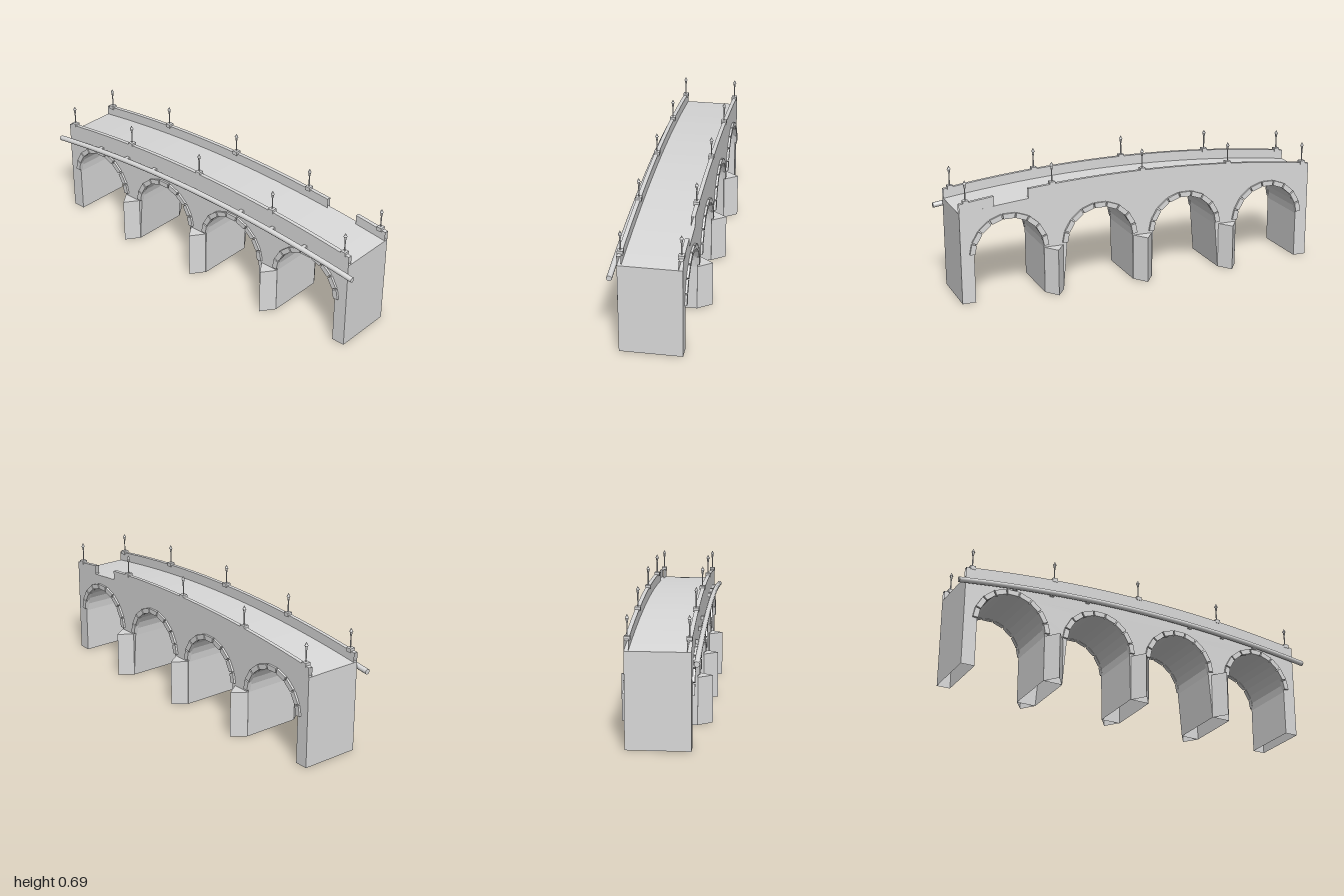
import * as THREE from 'three';

// Hollow, open-footed walls, so both sides of each face show
const stone = new THREE.MeshStandardMaterial({ color: 0xd9d9d9, side: THREE.DoubleSide });
stone.name = 'lightGreyStone';

const END = 0.955, WALL = 0.152, SPRING = 0.237, STEPS = 20;
const roadY = x => 0.525 - 0.065 * (x / END) ** 2;
const parapetY = x => 0.575 - 0.067 * (x / END) ** 2;
const pipeY = x => 0.487 - 0.07 * x * x;

// Arch centre, inner radius, and the x of its two feet on the ground
const half = [
  { c: -0.709, r: 0.178, a: -0.887, b: -0.53 },
  { c: -0.2335, r: 0.1765, a: -0.43, b: -0.052 },
];
const arches = [...half, ...half.map(h => ({ c: -h.c, r: h.r, a: -h.b, b: -h.a })).reverse()];

function add(parent, name, geo, x = 0, y = 0, z = 0) {
  const m = new THREE.Mesh(geo, stone);
  m.name = name;
  m.position.set(x, y, z);
  parent.add(m);
  return m;
}

// Shared x stations for the road and the parapets, clipped to x0..x1
function stations(x0, x1) {
  const inner = Array.from({ length: STEPS + 1 }, (_, i) => -END + 2 * END * i / STEPS)
    .filter(x => x > x0 + 1e-4 && x < x1 - 1e-4);
  return [x0, ...inner, x1];
}

function extrude(points, z0, z1) {
  const g = new THREE.ExtrudeGeometry(new THREE.Shape(points), { depth: z1 - z0, bevelEnabled: false });
  return g.translate(0, 0, z0);
}

// Leaves the feet open underneath
function openBottom(geo) {
  const p = geo.attributes.position, keep = [];
  for (let i = 0; i < p.count; i += 3) {
    if (Math.max(p.getY(i), p.getY(i + 1), p.getY(i + 2)) < 1e-4) continue;
    for (let k = i; k < i + 3; k++) keep.push(p.getX(k), p.getY(k), p.getZ(k));
  }
  const out = new THREE.BufferGeometry();
  out.setAttribute('position', new THREE.Float32BufferAttribute(keep, 3));
  out.computeVertexNormals();
  return out;
}

// Inverted U section swept along x, open at its ends and underneath
function parapetGeometry(x0, x1, z0, z1) {
  const rows = stations(x0, x1).map(x => [
    [x, roadY(x), z1], [x, parapetY(x), z1], [x, parapetY(x), z0], [x, roadY(x), z0],
  ]);
  const pos = [];
  for (let i = 0; i + 1 < rows.length; i++) {
    for (let k = 0; k < 3; k++) {
      const [a, b, c, d] = [rows[i][k], rows[i + 1][k], rows[i + 1][k + 1], rows[i][k + 1]];
      pos.push(...a, ...b, ...c, ...a, ...c, ...d);
    }
  }
  const g = new THREE.BufferGeometry();
  g.setAttribute('position', new THREE.Float32BufferAttribute(pos, 3));
  g.computeVertexNormals();
  return g;
}

export function createModel() {
  const bridge = new THREE.Group();
  bridge.name = 'archBridge';

  // Body: arched underside, humped road on top
  const outline = [new THREE.Vector2(-END, 0)];
  for (const { c, r, a, b } of arches) {
    outline.push(new THREE.Vector2(a, 0));
    for (let i = 0; i <= 14; i++) {
      const t = Math.PI * (1 - i / 14);
      outline.push(new THREE.Vector2(c + r * Math.cos(t), SPRING + r * Math.sin(t)));
    }
    outline.push(new THREE.Vector2(b, 0));
  }
  outline.push(new THREE.Vector2(END, 0));
  outline.push(...stations(-END, END).reverse().map(x => new THREE.Vector2(x, roadY(x))));
  add(bridge, 'bridgeBody', openBottom(extrude(outline, -WALL, WALL)));

  // Parapets, the back one with a gap
  add(bridge, 'frontParapet', parapetGeometry(-END, END, 0.132, WALL));
  add(bridge, 'backParapet', parapetGeometry(-END, 0.605, -WALL, -0.132));
  add(bridge, 'backParapetEnd', parapetGeometry(0.78, END, -WALL, -0.132));

  // Pointed cutwaters on both faces of each pier
  const wedge = [[-0.05, 0], [0.05, 0], [0, 0.07]].map(p => new THREE.Vector2(...p));
  const cutwater = openBottom(extrude(wedge, 0, SPRING).rotateX(-Math.PI / 2).rotateY(Math.PI));
  for (const x of [-0.48, 0, 0.48]) {
    add(bridge, 'frontCutwater', cutwater, x, 0, WALL);
    add(bridge, 'backCutwater', cutwater, x, 0, -WALL).rotation.y = Math.PI;
  }

  // Separate ring stones around each arch
  const rad = Math.PI / 180;
  for (const { c, r } of arches) {
    const at = (deg, q) => new THREE.Vector2(c + q * Math.cos(deg * rad), SPRING + q * Math.sin(deg * rad));
    for (let i = 0; i < 9; i++) {
      const lo = Math.max(4, i * 20 + 1), hi = Math.min(176, i * 20 + 19);
      const block = [at(lo, r - 0.001), at(lo, r + 0.025), at(hi, r + 0.025), at(hi, r - 0.001)];
      add(bridge, 'frontRingStone', extrude(block, 0.14, 0.163));
      add(bridge, 'backRingStone', extrude(block, -0.163, -0.14));
    }
  }

  // Pipe along the front, with capped ends and wall brackets
  const path = new THREE.CatmullRomCurve3(Array.from({ length: 17 }, (_, i) => {
    const x = -1 + i / 8;
    return new THREE.Vector3(x, pipeY(x), 0.178);
  }));
  add(bridge, 'pipe', new THREE.TubeGeometry(path, 24, 0.0135, 12));
  const cap = new THREE.CircleGeometry(0.0135, 12);
  for (const s of [-1, 1]) add(bridge, 'pipeEnd', cap, s, pipeY(1), 0.178).rotation.y = s * Math.PI / 2;
  const bracket = new THREE.BoxGeometry(0.02, 0.02, 0.024);
  for (const x of [-0.7, -0.5, -0.3, 0.3, 0.5, 0.7]) add(bridge, 'pipeBracket', bracket, x, pipeY(x), 0.16);

  // Lamps standing on the parapets: block, thin post, lantern and pointed roof
  const base = new THREE.BoxGeometry(0.028, 0.02, 0.028);
  const post = new THREE.CylinderGeometry(0.003, 0.003, 0.076, 6);
  const lantern = new THREE.CylinderGeometry(0.007, 0.004, 0.022, 6);
  const roof = new THREE.ConeGeometry(0.01, 0.019, 6);
  for (const x of [-0.92, -0.48, 0, 0.48, 0.92]) {
    for (const z of [-0.14, 0.14]) {
      const lamp = new THREE.Group();
      lamp.name = 'lamp';
      lamp.position.set(x, parapetY(x), z);
      add(lamp, 'lampBase', base, 0, 0.001, 0);
      add(lamp, 'lampPost', post, 0, 0.038, 0);
      add(lamp, 'lantern', lantern, 0, 0.081, 0);
      add(lamp, 'lanternRoof', roof, 0, 0.1005, 0);
      bridge.add(lamp);
    }
  }
  return bridge;
}
